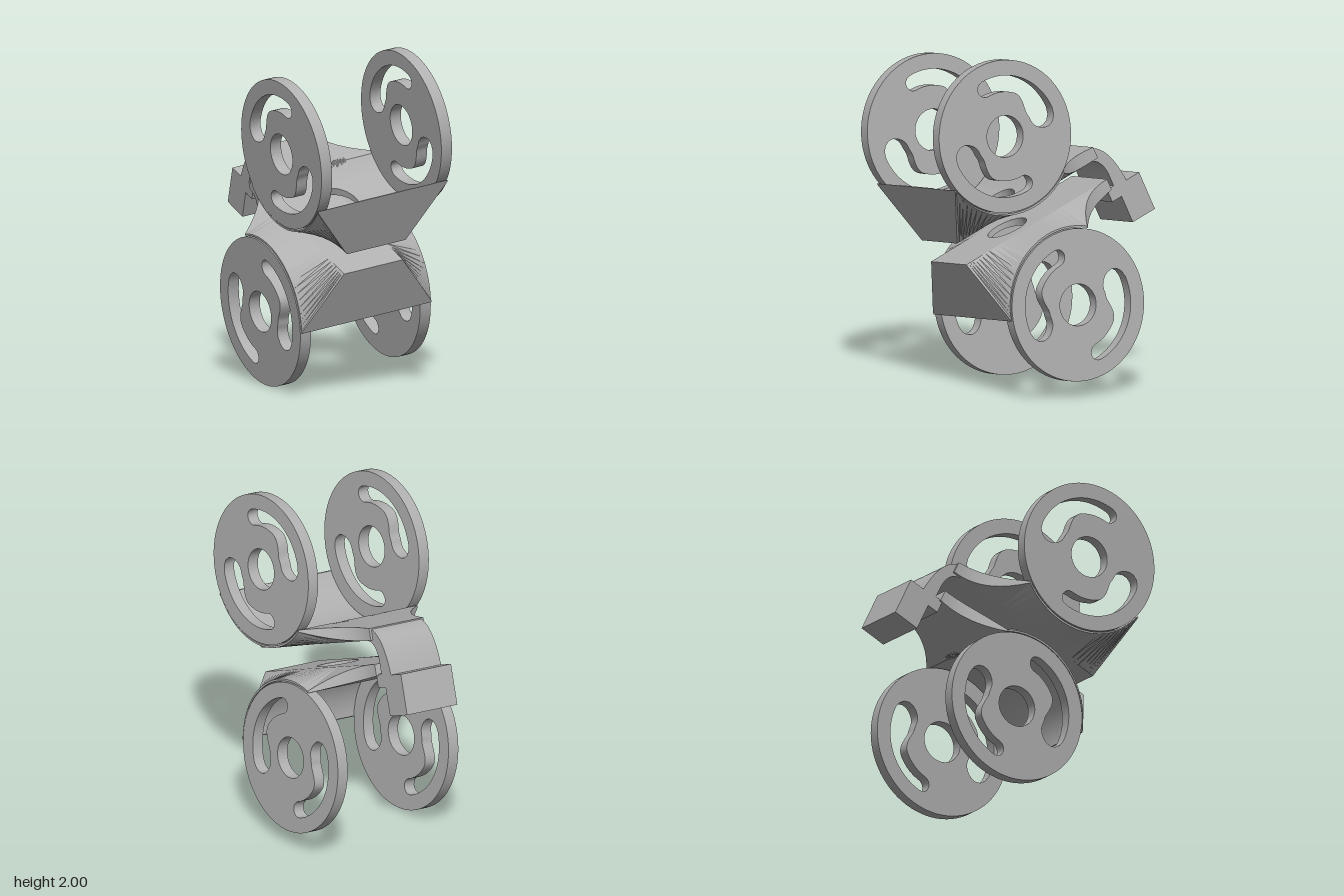
import * as THREE from 'three';
import { toCreasedNormals } from 'three/addons/utils/BufferGeometryUtils.js';

const R = 0.445;        // disc radius
const CY = 0.554;       // disc centre height above the joint centre
const HALF = 0.2;       // half width of the flat centre web
const SIDE = 0.44;      // outer half width at the discs
const FRONT = 0.44, BACK = -0.62, NECK = -0.26;

// Web top: a cylinder around the disc axis, then the flat arm
const top = (x) => (x < NECK
  ? 0.186 - 0.046 * (NECK - x) / (NECK - BACK)
  : Math.min(0.43, CY - Math.sqrt(Math.max(0, 0.451 * 0.451 - x * x))));

// Concave outline from disc to arm
const outer = (x) => {
  if (x >= NECK) return SIDE;
  const t = (NECK - x) / (NECK - BACK);
  return HALF + (SIDE - HALF) * Math.pow(1 - t, 2.2);
};

// Stations along the bracket
const stations = [];
for (let i = 0; i <= 10; i++) stations.push(BACK + (NECK - BACK) * i / 10);
for (let i = 1; i <= 24; i++) {
  const a0 = Math.asin(NECK / FRONT);
  stations.push(FRONT * Math.sin(a0 + (Math.PI / 2 - a0) * i / 24));
}

// Joins equal closed loops of points into a surface
function loft(loops, closed) {
  const n = loops[0].length, index = [];
  const count = closed ? loops.length : loops.length - 1;
  for (let i = 0; i < count; i++) {
    const k = (i + 1) % loops.length;
    for (let j = 0; j < n; j++) {
      const m = (j + 1) % n;
      index.push(i * n + j, k * n + j, k * n + m, i * n + j, k * n + m, i * n + m);
    }
  }
  const g = new THREE.BufferGeometry();
  g.setAttribute('position', new THREE.Float32BufferAttribute(loops.flat(2), 3));
  g.setIndex(index);
  return toCreasedNormals(g, 0.45);
}

// Centre web with a round hole
function webGeometry() {
  const rim = [];
  stations.forEach((x) => rim.push([x, HALF]));
  for (let i = 1; i < 8; i++) rim.push([FRONT, HALF - 2 * HALF * i / 8]);
  [...stations].reverse().forEach((x) => rim.push([x, -HALF]));
  for (let i = 1; i < 8; i++) rim.push([BACK, -HALF + 2 * HALF * i / 8]);
  const K = 16;
  return loft(rim.map(([x, z]) => {
    const a = Math.atan2(z, x), hx = 0.122 * Math.cos(a), hz = 0.122 * Math.sin(a);
    const up = [], down = [];
    for (let k = 0; k <= K; k++) {
      const t = Math.sin((k / K) * Math.PI / 2);
      const px = hx + (x - hx) * t, pz = hz + (z - hz) * t;
      up.push([px, top(px), pz]);
      down.unshift([px, 0.07, pz]);
    }
    return [...up, ...down];
  }), true);
}

// Sloped shoulder between the centre web and a disc
function shoulderGeometry() {
  const loops = stations.map((x) => {
    const z = outer(x), y = top(x);
    const t = (z - HALF) / (SIDE - HALF);
    const low = 0.07 + (y - 0.012 - 0.07) * t;
    return [[x, 0.07, HALF], [x, low, z], [x, y, z], [x, y, HALF]];
  });
  const last = loops[loops.length - 1];
  const mid = [0, 1, 2].map((k) => last.reduce((s, p) => s + p[k], 0) / 4);
  loops.push([mid, mid, mid, mid]);
  return loft(loops, false);
}

// Comma-shaped slot, wide at its start and narrow at its end
function slot(start, end) {
  const pts = [], N = 24;
  const add = (r, a) => pts.push(new THREE.Vector2(r * Math.cos(a), r * Math.sin(a)));
  const inner = (t) => 0.195 + 0.065 * THREE.MathUtils.smoothstep(t, 0.15, 0.55);
  const cap = (t, sign) => {
    const lo = inner(t), hi = 0.355, mid = (lo + hi) / 2, h = (hi - lo) / 2;
    const a = start + (end - start) * t;
    for (let i = 1; i < 8; i++) {
      const f = Math.PI * i / 8;
      add(mid + sign * h * Math.cos(f), a + sign * Math.sign(end - start) * h * Math.sin(f) / mid);
    }
  };
  for (let i = 0; i <= N; i++) add(0.355, start + (end - start) * i / N);
  cap(1, 1);
  for (let i = N; i >= 0; i--) add(inner(i / N), start + (end - start) * i / N);
  cap(0, -1);
  return new THREE.Path(pts);
}

// Disc with a hub hole and two slots
function discGeometry() {
  const s = new THREE.Shape();
  s.absarc(0, 0, R, 0, Math.PI * 2);
  const hub = new THREE.Path();
  hub.absarc(0, 0, 0.122, 0, Math.PI * 2, true);
  const d = Math.PI / 180;
  s.holes.push(hub, slot(180 * d, 90 * d), slot(0, -90 * d));
  const g = new THREE.ExtrudeGeometry(s, { depth: 0.072, bevelEnabled: false, curveSegments: 40 });
  g.translate(0, CY, -0.036);
  return toCreasedNormals(g, 0.5);
}

// Curved arm end and clamp block, drawn in side profile
function clampGeometry() {
  const s = new THREE.Shape();
  s.moveTo(-0.56, 0.147);
  s.lineTo(-0.6, 0.142);
  s.quadraticCurveTo(-0.72, 0.1, -0.74, -0.14);
  s.lineTo(-0.836, -0.14);
  s.lineTo(-0.836, -0.38);
  s.lineTo(-0.67, -0.38);
  s.lineTo(-0.67, -0.21);
  s.lineTo(-0.6, -0.21);
  s.lineTo(-0.6, -0.13);
  s.lineTo(-0.65, -0.13);
  s.lineTo(-0.65, -0.05);
  s.quadraticCurveTo(-0.64, 0.06, -0.56, 0.07);
  const g = new THREE.ExtrudeGeometry(s, { depth: 0.37, bevelEnabled: false, curveSegments: 14 });
  g.translate(0, 0, -0.185);
  return toCreasedNormals(g, 0.5);
}

export function createModel() {
  const grey = new THREE.MeshStandardMaterial({ color: 0xb0b0b0, side: THREE.DoubleSide });
  grey.name = 'plain grey';
  const model = new THREE.Group();
  model.name = 'doubleBracket';
  const mesh = (name, geometry, parent) => {
    const m = new THREE.Mesh(geometry, grey);
    m.name = name;
    parent.add(m);
    return m;
  };

  // Two brackets, back to back
  const web = webGeometry(), shoulder = shoulderGeometry(), disc = discGeometry();
  const tilted = new THREE.Group();
  tilted.name = 'tiltedAssembly';
  for (const side of [1, -1]) {
    const bracket = new THREE.Group();
    bracket.name = side > 0 ? 'upperBracket' : 'lowerBracket';
    bracket.scale.y = side;
    mesh('web', web, bracket);
    for (const z of [1, -1]) {
      mesh('shoulder', shoulder, bracket).scale.z = z;
      mesh('slottedDisc', disc, bracket).position.z = z * 0.408;
    }
    tilted.add(bracket);
  }
  mesh('clampArm', clampGeometry(), tilted);

  // Tilt of the whole assembly
  const z = new THREE.Vector3(-0.575, -0.11, 0.81).normalize();
  const y = new THREE.Vector3(0.257, 0.918, 0.302);
  y.addScaledVector(z, -y.dot(z)).normalize();
  const x = new THREE.Vector3().crossVectors(y, z);
  tilted.quaternion.setFromRotationMatrix(new THREE.Matrix4().makeBasis(x, y, z));
  tilted.position.set(0.045, 1.0, 0.003);
  model.add(tilted);
  return model;
}
